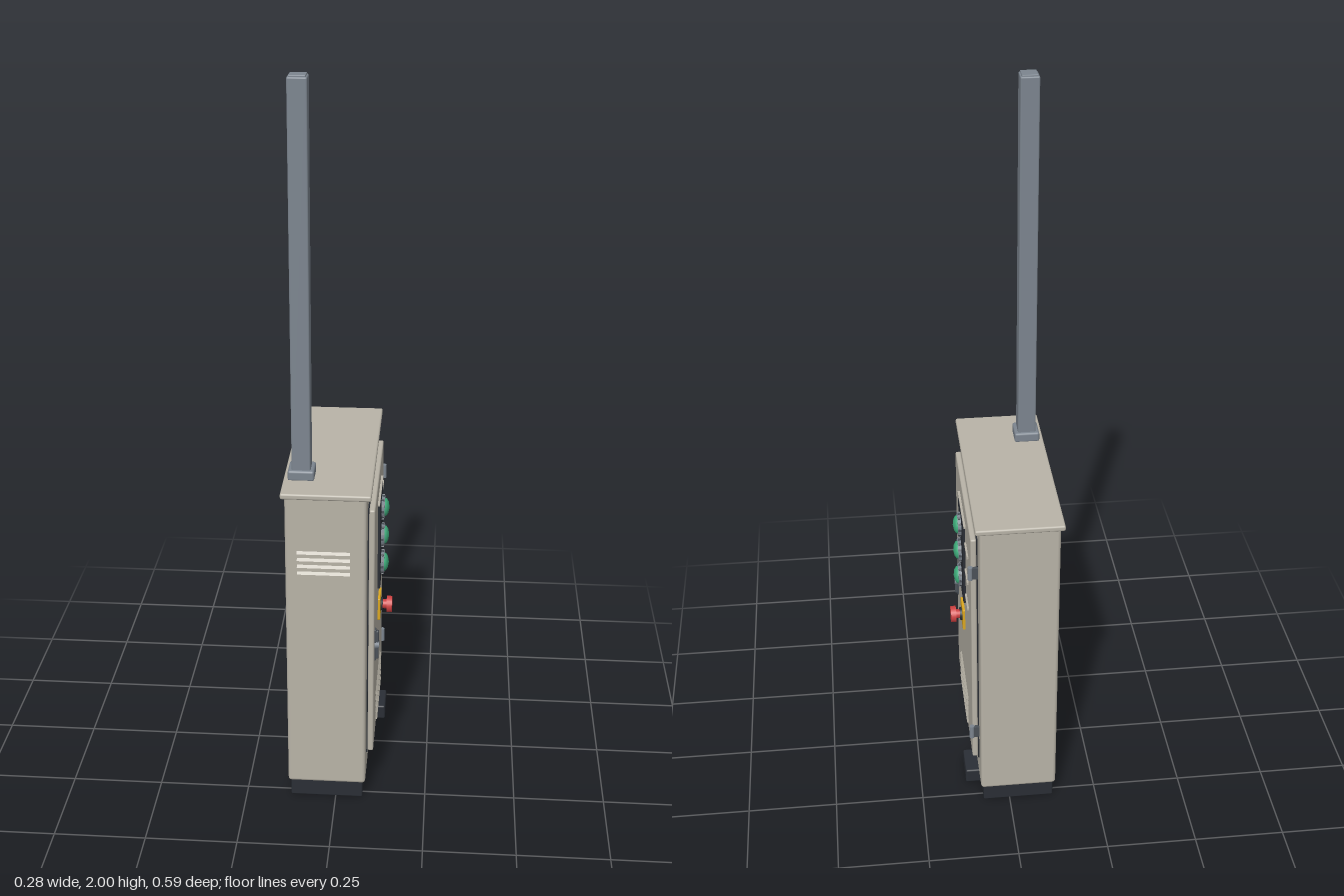
import * as THREE from 'three';
import { RoundedBoxGeometry } from 'three/addons/geometries/RoundedBoxGeometry.js';

const mat = (name, color) => {
  const m = new THREE.MeshStandardMaterial({ color });
  m.name = name;
  return m;
};

export function createModel() {
  const beige = mat('beige paint', 0xb8b3a7);
  const steel = mat('galvanised steel', 0x7c858f);
  const darkSteel = mat('dark steel', 0x4b5158);
  const dark = mat('dark plastic', 0x2a2e35);
  const green = mat('green lens', 0x3fae7c);
  const red = mat('red button', 0xcc4040);
  const yellow = mat('yellow plate', 0xdca820);

  const model = new THREE.Group();
  model.name = 'controlCabinet';

  const add = (name, geo, material, parent = model) => {
    const mesh = new THREE.Mesh(geo, material);
    mesh.name = name;
    parent.add(mesh);
    return mesh;
  };
  // Box given by its limits on each axis, with optional softened edges
  const box = (name, material, [x0, x1], [y0, y1], [z0, z1], r = 0, parent = model) => {
    const s = [x1 - x0, y1 - y0, z1 - z0];
    const geo = r ? new RoundedBoxGeometry(...s, 2, r) : new THREE.BoxGeometry(...s);
    geo.translate((x0 + x1) / 2, (y0 + y1) / 2, (z0 + z1) / 2);
    return add(name, geo, material, parent);
  };
  // Round part pointing out of the door, from x0 to x1
  const knob = (name, material, x0, x1, r0, r1, y, z, parent = model, sides = 24) => {
    const geo = new THREE.CylinderGeometry(r1, r0, x1 - x0, sides);
    geo.rotateZ(-Math.PI / 2).translate((x0 + x1) / 2, y, z);
    return add(name, geo, material, parent);
  };

  // Plinth and cable entry
  box('plinth', dark, [-0.125, 0.075], [0, 0.055], [-0.276, 0.276], 0.004);
  box('cableEntry', dark, [0.07, 0.12], [0.004, 0.048], [-0.204, -0.11], 0.005);

  // Cabinet and overhanging roof
  box('cabinet', beige, [-0.132, 0.083], [0.052, 0.938], [-0.286, 0.286], 0.009);
  box('roof', beige, [-0.142, 0.095], [0.932, 0.948], [-0.296, 0.296], 0.005);

  // Door with its seal
  box('doorSeal', dark, [0.08, 0.086], [0.121, 0.879], [-0.232, 0.233]);
  box('door', beige, [0.086, 0.102], [0.124, 0.876], [-0.229, 0.23], 0.005);
  for (const y of [0.225, 0.775]) {
    const pin = add('hinge', new THREE.CylinderGeometry(0.007, 0.007, 0.04, 16), steel);
    pin.position.set(0.104, y, -0.236);
    box('hingeLeaf', darkSteel, [0.082, 0.1], [y - 0.017, y + 0.017], [-0.241, -0.23]);
  }

  // Sloping vent slats: four on the side, five low on the door
  const slat = (name, length, height, depth) => {
    const h = height / 2;
    const s = new THREE.Shape([
      new THREE.Vector2(0, -h), new THREE.Vector2(depth, -h),
      new THREE.Vector2(depth, -h * 0.5), new THREE.Vector2(0, h),
    ]);
    const geo = new THREE.ExtrudeGeometry(s, { depth: length, bevelEnabled: false });
    geo.translate(0, 0, -length / 2);
    return add(name, geo, beige);
  };
  for (let i = 0; i < 4; i++) {
    const s = slat('sideVent', 0.14, 0.009, 0.006);
    s.rotation.y = -Math.PI / 2;
    s.position.set(-0.03, 0.715 + i * 0.02, 0.286);
  }
  for (let i = 0; i < 5; i++) {
    slat('doorVent', 0.22, 0.009, 0.005).position.set(0.102, 0.155 + i * 0.021, 0);
  }

  // Lamp panel with drip strip, lamps and label strips
  box('lampPanel', dark, [0.1, 0.109], [0.553, 0.822], [-0.067, 0.069], 0.002);
  box('dripStrip', beige, [0.1, 0.108], [0.822, 0.827], [-0.092, 0.094]);
  for (const y of [0.604, 0.69, 0.776]) {
    const lamp = new THREE.Group();
    lamp.name = 'lamp';
    model.add(lamp);
    knob('bezel', steel, 0.108, 0.118, 0.035, 0.031, y, 0.002, lamp);
    const profile = [[0.026, 0], [0.024, 0.005], [0.016, 0.01], [0, 0.013]]
      .map(([r, h]) => new THREE.Vector2(r, h));
    const lens = new THREE.LatheGeometry(profile, 24);
    lens.rotateZ(-Math.PI / 2).translate(0.1175, y, 0.002);
    add('lens', lens, green, lamp);
    // Grip notches round the bezel
    for (let i = 0; i < 12; i++) {
      const a = (i / 12) * Math.PI * 2;
      const notch = add('bezelRib', new THREE.BoxGeometry(0.008, 0.006, 0.006), darkSteel, lamp);
      notch.position.set(0.1125, y + Math.cos(a) * 0.032, 0.002 + Math.sin(a) * 0.032);
      notch.rotation.x = a;
    }
    box('labelStrip', beige, [0.1, 0.107], [y - 0.004, y + 0.003], [-0.165, -0.095]);
  }

  // Emergency stop
  const stop = new THREE.Group();
  stop.name = 'emergencyStop';
  model.add(stop);
  box('stopPlate', yellow, [0.1, 0.109], [0.433, 0.501], [-0.034, 0.035], 0.002, stop);
  knob('stopCollar', dark, 0.108, 0.115, 0.02, 0.018, 0.467, 0, stop);
  knob('stopStem', red, 0.114, 0.128, 0.013, 0.013, 0.467, 0, stop);
  knob('stopHead', red, 0.126, 0.141, 0.024, 0.023, 0.467, 0, stop);

  // Swing handle
  box('handlePlate', darkSteel, [0.1, 0.106], [0.4, 0.497], [0.183, 0.199], 0.002);
  knob('handleBoss', steel, 0.102, 0.114, 0.013, 0.011, 0.448, 0.19, model, 12);
  box('handleGrip', darkSteel, [0.105, 0.113], [0.405, 0.492], [0.185, 0.197], 0.003);

  // Mast on its foot
  box('mastFoot', steel, [-0.13, -0.06], [0.945, 0.974], [0.142, 0.211], 0.006);
  box('mast', steel, [-0.12, -0.07], [0.965, 1.996], [0.151, 0.202], 0.004);
  box('mastCap', steel, [-0.116, -0.074], [1.99, 2], [0.155, 0.198], 0.002);

  return model;
}
